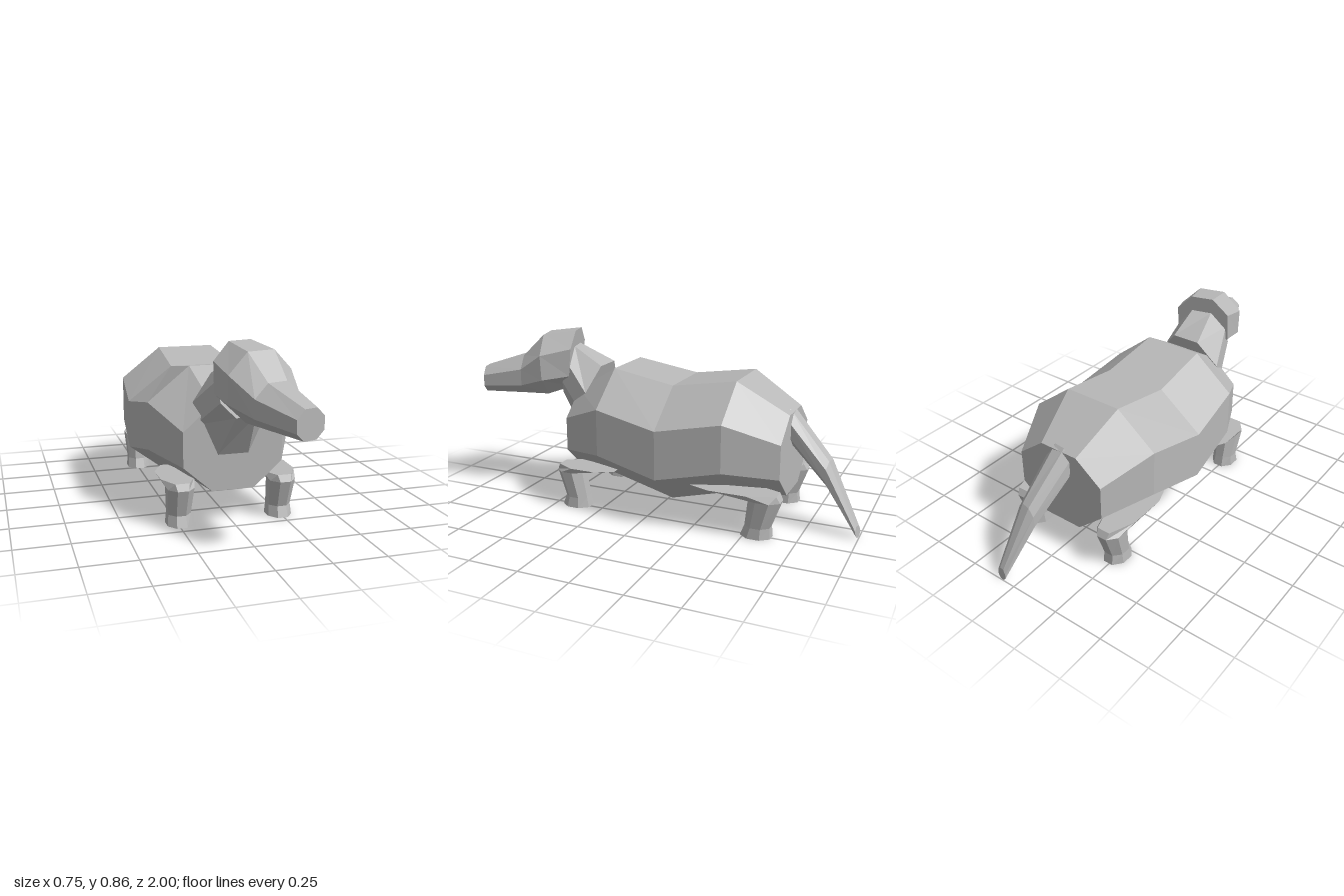
import * as THREE from 'three';

const grey = new THREE.MeshStandardMaterial({ color: 0xb8b8b8, flatShading: true });
grey.name = 'grey';

// Upright eight-sided ring. ys = [bottom, low, high, top]; lean shifts z with height, yaw shifts z across x.
function ring(cx, cz, flat, wide, ys, lean = 0, yaw = 0) {
  const [b, l, h, t] = ys;
  const mid = (b + t) / 2;
  return [[flat, b], [wide, l], [wide, h], [flat, t], [-flat, t], [-wide, h], [-wide, l], [-flat, b]]
    .map(([x, y]) => [cx + x, y, cz + lean * (y - mid) - yaw * x]);
}

// Level eight-sided ring for the legs.
function levelRing(cx, y, zBack, zFront, half) {
  const pts = [], k = 1 / Math.cos(Math.PI / 8);
  for (let i = 0; i < 8; i++) {
    const a = Math.PI / 8 + i * Math.PI / 4;
    pts.push([cx + Math.cos(a) * half * k, y, (zBack + zFront) / 2 - Math.sin(a) * k * (zFront - zBack) / 2]);
  }
  return pts;
}

// Faceted skin through the rings, closed at both ends.
function loft(name, rings) {
  const pos = [];
  const tri = (...p) => p.forEach((v) => pos.push(...v));
  const n = rings[0].length;
  for (let i = 0; i < rings.length - 1; i++) {
    for (let j = 0; j < n; j++) {
      const k = (j + 1) % n, A = rings[i], B = rings[i + 1];
      tri(A[j], A[k], B[k]);
      tri(A[j], B[k], B[j]);
    }
  }
  const first = rings[0], last = rings[rings.length - 1];
  for (let j = 1; j < n - 1; j++) {
    tri(first[0], first[j + 1], first[j]);
    tri(last[0], last[j], last[j + 1]);
  }
  const geo = new THREE.BufferGeometry();
  geo.setAttribute('position', new THREE.Float32BufferAttribute(pos, 3));
  geo.computeVertexNormals();
  const mesh = new THREE.Mesh(geo, grey);
  mesh.name = name;
  return mesh;
}

export function createModel() {
  const model = new THREE.Group();
  model.name = 'animal';

  // Barrel body, rear to front
  model.add(loft('body', [
    ring(0, -0.655, 0.1, 0.235, [0.16, 0.28, 0.445, 0.55]),
    ring(0, -0.41, 0.145, 0.345, [0.157, 0.312, 0.54, 0.697]),
    ring(0, -0.095, 0.155, 0.374, [0.078, 0.244, 0.48, 0.648]),
    ring(0, 0.22, 0.145, 0.345, [0.157, 0.312, 0.54, 0.702]),
    ring(0, 0.45, 0.1, 0.235, [0.16, 0.28, 0.445, 0.565]),
  ]));

  // Neck
  model.add(loft('neck', [
    ring(0, 0.393, 0.072, 0.17, [0.33, 0.465, 0.565, 0.687], -0.32),
    ring(0.015, 0.54, 0.05, 0.12, [0.53, 0.6, 0.7, 0.775], -0.32, 0.25),
  ]));

  // Head and snout, turned a little to the left
  model.add(loft('head', [
    ring(0.01, 0.51, 0.055, 0.133, [0.565, 0.635, 0.775, 0.855], -0.1, 0.26),
    ring(0.05, 0.65, 0.065, 0.155, [0.525, 0.615, 0.74, 0.832], 0.05, 0.26),
    ring(0.083, 0.77, 0.047, 0.111, [0.522, 0.575, 0.658, 0.718], 0, 0.3),
    ring(0.143, 0.978, 0.03, 0.068, [0.52, 0.555, 0.612, 0.65], 0, 0.32),
  ]));

  // Drooping tail, tip to root
  model.add(loft('tail', [
    ring(0.08, -0.992, 0.012, 0.028, [0, 0.016, 0.036, 0.055], 0.12, -0.2),
    ring(0.04, -0.84, 0.022, 0.052, [0.22, 0.252, 0.308, 0.342], -0.05, -0.2),
    ring(0.004, -0.648, 0.028, 0.067, [0.39, 0.438, 0.517, 0.565], 0.1, -0.1),
  ]));

  // Legs: sole, ankle, knee, then a flat shoulder reaching under the body
  const legs = {
    frontLeg: [[0, 0.318, 0.463], [0.052, 0.328, 0.445], [0.183, 0.35, 0.487], [0.215, 0.165, 0.472]],
    backLeg: [[0, -0.63, -0.485], [0.052, -0.625, -0.505], [0.183, -0.672, -0.52], [0.215, -0.655, -0.21]],
  };
  const halves = [0.058, 0.053, 0.062, 0.08];
  for (const [name, levels] of Object.entries(legs)) {
    for (const side of [1, -1]) {
      model.add(loft((side > 0 ? 'left ' : 'right ') + name,
        levels.map(([y, z0, z1], i) => levelRing(0.244 * side, y, z0, z1, halves[i]))));
    }
  }
  return model;
}
